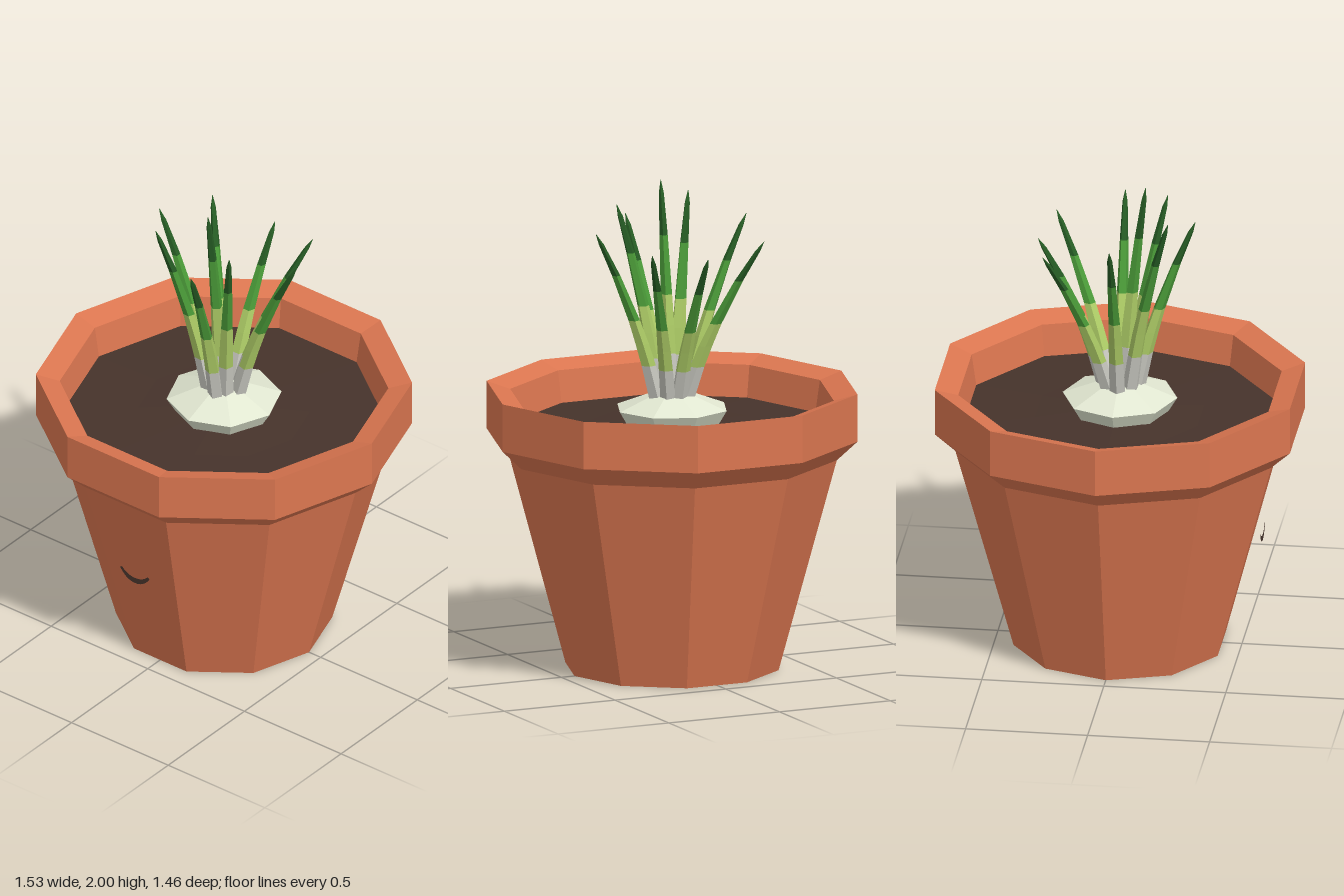
import * as THREE from 'three';

const mat = (name, color) => {
  const m = new THREE.MeshStandardMaterial({ color });
  m.name = name;
  return m;
};

// Faceted normals: every triangle gets its own corners
function faceted(geometry) {
  const g = geometry.index ? geometry.toNonIndexed() : geometry;
  g.computeVertexNormals();
  return g;
}

function lathe(name, profile, sides, start, material) {
  const points = profile.map(([r, y]) => new THREE.Vector2(r, y));
  const mesh = new THREE.Mesh(faceted(new THREE.LatheGeometry(points, sides, start)), material);
  mesh.name = name;
  return mesh;
}

// Slender five-sided leaf bending outward, in four colour bands
function leaf([x, y, z, baseRadius], materials) {
  const sides = 5, baseY = 1.11;
  const dir = Math.atan2(z, x);
  const bx = Math.cos(dir) * baseRadius, bz = Math.sin(dir) * baseRadius;
  // height fraction, radius, band of the section above
  const rings = [
    [0, 0.034, 0], [0.21, 0.031, 1], [0.34, 0.029, 1], [0.48, 0.025, 2],
    [0.75, 0.018, 3], [0.94, 0.011, 3], [1, 0.001, 3],
  ];
  const point = ([t, r], i) => {
    const bend = 0.6 * t + 0.4 * t * t;
    const a = dir + (i / sides) * Math.PI * 2;
    return [
      bx + (x - bx) * bend + Math.cos(a) * r,
      baseY + (y - baseY) * t,
      bz + (z - bz) * bend + Math.sin(a) * r,
    ];
  };
  const positions = [];
  const g = new THREE.BufferGeometry();
  for (let k = 0; k < rings.length - 1; k++) {
    g.addGroup(k * sides * 6, sides * 6, rings[k][2]);
    for (let i = 0; i < sides; i++) {
      const p0 = point(rings[k], i), q0 = point(rings[k], i + 1);
      const p1 = point(rings[k + 1], i), q1 = point(rings[k + 1], i + 1);
      positions.push(...p0, ...p1, ...q1, ...p0, ...q1, ...q0);
    }
  }
  g.setAttribute('position', new THREE.Float32BufferAttribute(positions, 3));
  const mesh = new THREE.Mesh(faceted(g), materials);
  mesh.name = 'leaf';
  return mesh;
}

export function createModel() {
  const terracotta = mat('terracotta', 0xdb7650);
  const earth = mat('soil brown', 0x46332b);
  const white = mat('bulb white', 0xe2e8d2);
  const leafColours = [
    mat('pale stem', 0xc8c8c0),
    mat('light green', 0xadcc66),
    mat('leaf green', 0x4a9a38),
    mat('dark green', 0x265c24),
  ];

  const model = new THREE.Group();
  model.name = 'pottedPlant';

  // Ten-sided pot with a thick rim sloping inward
  model.add(lathe('pot', [
    [0, 0], [0.44, 0], [0.68, 0.88], [0.765, 0.96], [0.765, 1.157],
    [0.668, 1.127], [0.645, 0.98],
  ], 10, Math.PI / 2, terracotta));

  // Soil, slightly raised around the bulb
  model.add(lathe('soil', [[0.652, 0.995], [0.35, 1.005], [0, 1.03]], 10, Math.PI / 2, earth));

  // Eight-sided bulb
  model.add(lathe('bulb', [
    [0.19, 1.0], [0.235, 1.075], [0.08, 1.135], [0, 1.145],
  ], 8, 0, white));

  // Leaves: tip x, y, z and distance of the base from the centre
  const leaves = new THREE.Group();
  leaves.name = 'leaves';
  [
    [0, 2.0, 0.105, 0.015], [0.355, 1.83, -0.025, 0.07], [0.165, 1.9, 0.175, 0.055],
    [0.065, 1.83, 0.3, 0.07], [-0.18, 1.92, 0.22, 0.06], [-0.335, 1.85, 0, 0.07],
    [-0.28, 1.79, -0.28, 0.06], [0, 1.75, -0.335, 0.06], [0.23, 1.78, -0.29, 0.06],
  ].forEach((l) => leaves.add(leaf(l, leafColours)));
  model.add(leaves);

  // Small flat smile just in front of the pot
  const s = new THREE.Shape();
  s.moveTo(-0.076, 0.015);
  s.quadraticCurveTo(-0.045, -0.033, 0, -0.033);
  s.quadraticCurveTo(0.045, -0.033, 0.076, 0.015);
  s.lineTo(0.066, 0.022);
  s.quadraticCurveTo(0.04, -0.008, 0, -0.008);
  s.quadraticCurveTo(-0.04, -0.008, -0.066, 0.022);
  s.closePath();
  const smile = new THREE.Mesh(new THREE.ShapeGeometry(s, 6), earth);
  smile.name = 'smile';
  smile.position.set(0, 0.498, 0.585);
  model.add(smile);

  return model;
}
